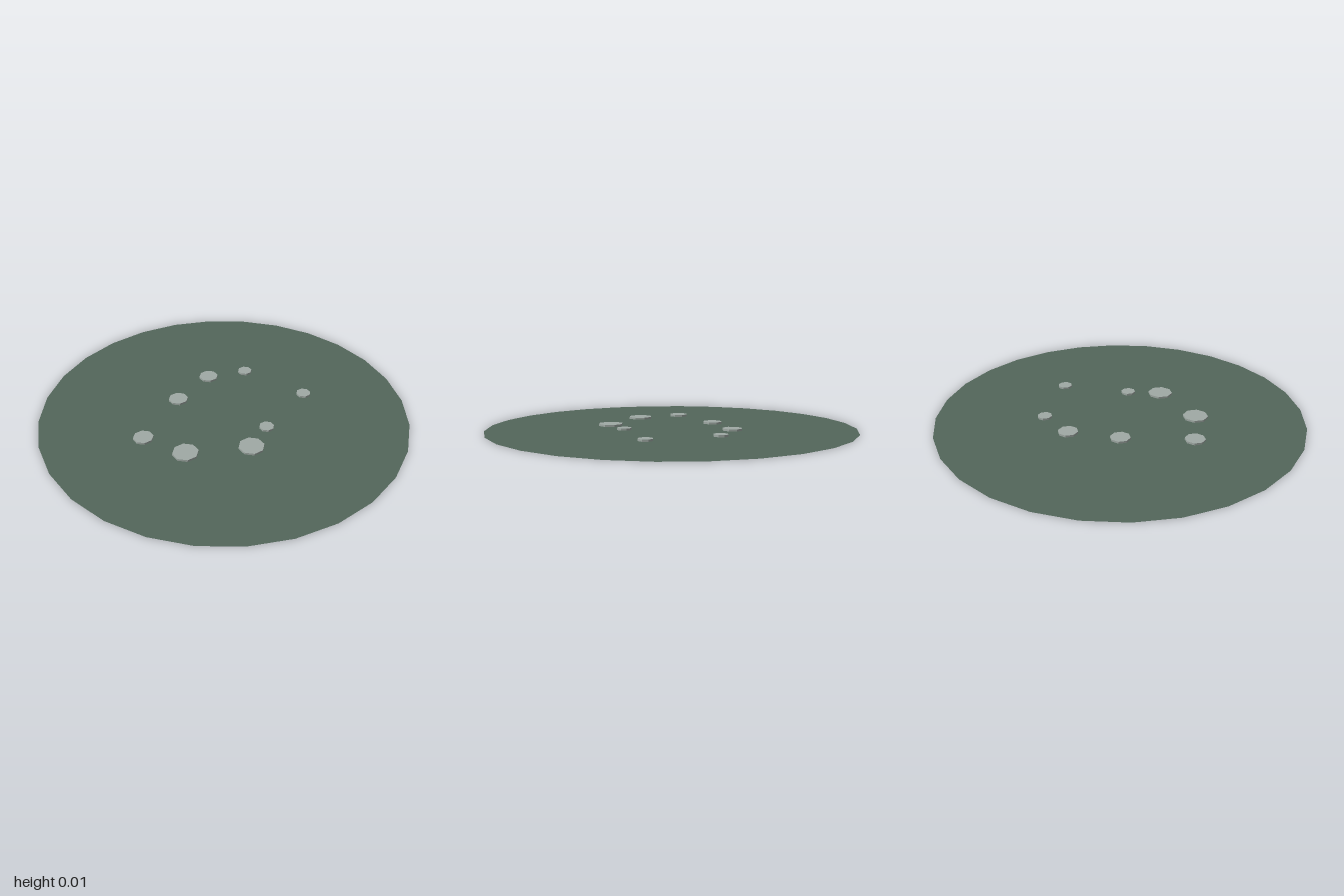
import * as THREE from 'three';

export function createModel() {
  const model = new THREE.Group();
  model.name = 'pond';

  // Flat water surface: a thin 28-sided disc
  const water = new THREE.Mesh(
    new THREE.CircleGeometry(1, 28).rotateX(-Math.PI / 2),
    new THREE.MeshStandardMaterial({ color: 0x53675b, side: THREE.DoubleSide })
  );
  water.name = 'waterSurface';
  model.add(water);

  // Thin eight-sided pads in three sizes, scattered in a rough ring
  const padMaterial = new THREE.MeshStandardMaterial({ color: 0xa0aaa5, flatShading: true });
  const height = 0.011;
  const small = 0.04, medium = 0.054, large = 0.068;
  const pads = [
    // x, z, radius
    [0.29, 0.185, large],
    [0.035, 0.41, large],
    [-0.22, 0.43, medium],
    [-0.27, 0.05, medium],
    [-0.255, -0.23, medium],
    [-0.108, -0.395, small],
    [0.29, -0.38, small],
    [0.272, 0, small],
  ];
  pads.forEach(([x, z, radius], i) => {
    const pad = new THREE.Mesh(new THREE.CylinderGeometry(radius, radius, height, 8), padMaterial);
    pad.position.set(x, height / 2, z);
    pad.name = `floatingPad${i + 1}`;
    model.add(pad);
  });

  return model;
}
